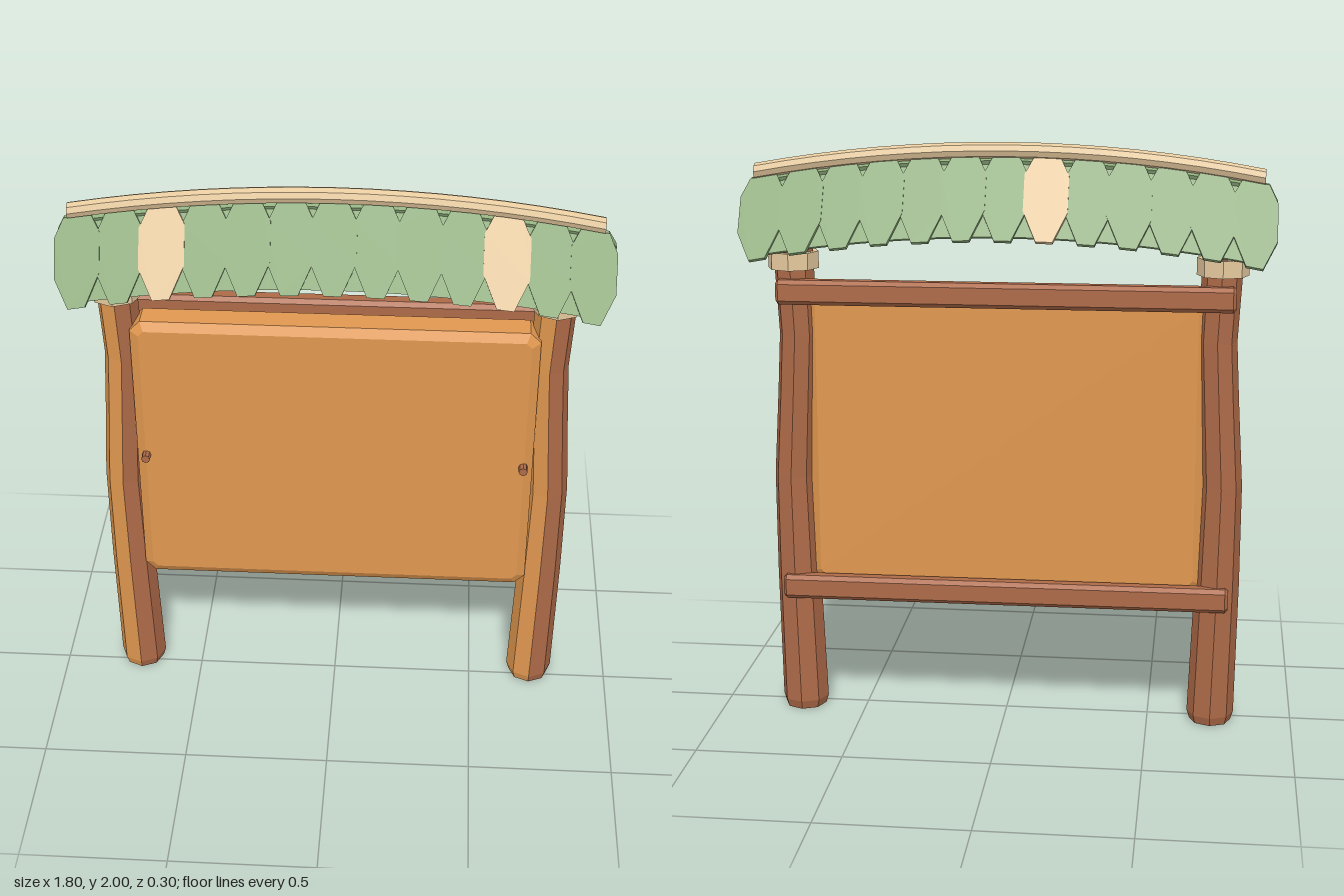
import * as THREE from 'three';

const mat = (name, color) => {
  const m = new THREE.MeshStandardMaterial({ color, flatShading: true });
  m.name = name;
  return m;
};

export function createModel() {
  const model = new THREE.Group();
  model.name = 'noticeBoard';
  const brown = mat('brownWood', 0xad6a48);
  const orange = mat('orangeWood', 0xe0974f);
  const green = mat('leafGreen', 0x8fae7c);
  const cream = mat('paleStraw', 0xe6ca9e);

  const add = (name, geometry, material, parent = model) => {
    const g = geometry.index ? geometry.toNonIndexed() : geometry;
    g.computeVertexNormals();
    const mesh = new THREE.Mesh(g, material);
    mesh.name = name;
    parent.add(mesh);
    return mesh;
  };

  // Moves every vertex of a geometry by a rule
  const deform = (geometry, rule) => {
    const p = geometry.attributes.position;
    const v = new THREE.Vector3();
    for (let i = 0; i < p.count; i++) {
      rule(v.fromBufferAttribute(p, i));
      p.setXYZ(i, v.x, v.y, v.z);
    }
    return geometry;
  };

  // The roof sags toward both ends
  const sag = (v) => { v.y -= 0.08 * (v.x / 0.86) ** 2; };

  // Shape with cut corners
  const cutRect = (w, h, c) => new THREE.Shape([
    [-w + c, -h], [w - c, -h], [w, -h + c], [w, h - c],
    [w - c, h], [-w + c, h], [-w, h - c], [-w, -h + c],
  ].map(([x, y]) => new THREE.Vector2(x, y)));

  // Crooked eight-sided posts: height, centre x, radius
  const stations = [
    [1.75, 0.72, 0.048], [1.73, 0.72, 0.062], [1.58, 0.722, 0.068], [1.35, 0.712, 0.066],
    [1.15, 0.722, 0.067], [0.85, 0.738, 0.07], [0.5, 0.732, 0.076],
    [0.03, 0.72, 0.081], [0, 0.72, 0.072],
  ];
  const rows = stations.length - 1;
  const postPart = (side, start, faces) => deform(
    new THREE.CylinderGeometry(1, 1, 1, faces, rows, false, start, faces * Math.PI / 4),
    (v) => {
      const [y, x, r] = stations[Math.round((0.5 - v.y) * rows)];
      v.set(side * x + v.x * r, y, -0.03 + v.z * r * 1.03);
    });

  for (const side of [-1, 1]) {
    const post = new THREE.Group();
    post.name = side > 0 ? 'leftPost' : 'rightPost';
    model.add(post);
    add('postWood', postPart(side, 0, 6), brown, post);
    add('postLightFaces', postPart(side, -Math.PI / 2, 2), orange, post);

    // Binding around the top of the post
    const collar = new THREE.CylinderGeometry(0.087, 0.087, 0.058, 8);
    add('collar', collar.translate(side * 0.724, 1.602, -0.03), cream, post);

    // Pin on the board face
    const pin = new THREE.CylinderGeometry(0.015, 0.015, 0.04, 8).rotateX(Math.PI / 2);
    add('pin', pin.translate(side * 0.645, 0.985, 0.065), brown);
  }

  // Bevelled board between the posts, resting on the rails
  const board = new THREE.ExtrudeGeometry(cutRect(0.648, 0.492, 0.018), {
    depth: 0.085, bevelEnabled: true, bevelThickness: 0.018, bevelSize: 0.03, bevelSegments: 1,
  });
  add('board', board.translate(0, 0.987, -0.048), orange);

  // Rails across the back
  for (const [name, y] of [['topRail', 1.502], ['bottomRail', 0.462]]) {
    const rail = new THREE.ExtrudeGeometry(cutRect(0.021, 0.032, 0.008), {
      depth: 1.52, bevelEnabled: true, bevelThickness: 0.01, bevelSize: 0.01, bevelSegments: 1,
    });
    rail.translate(0, 0, -0.76).rotateY(Math.PI / 2).translate(0, y, -0.098);
    add(name, rail, brown);
  }

  // Curved ridge pole
  const ridge = new THREE.CylinderGeometry(0.027, 0.027, 1.71, 8, 16).rotateZ(Math.PI / 2);
  add('ridgePole', deform(ridge.translate(0, 1.973, 0), sag), cream);

  // Thick overlapping leaves on a backing sheet, on both slopes
  const leafShape = new THREE.Shape([
    [-0.028, -0.295], [0.028, -0.295], [0.074, -0.19], [0.074, -0.06],
    [0.045, 0], [-0.045, 0], [-0.074, -0.06], [-0.074, -0.19],
  ].map(([x, y]) => new THREE.Vector2(x, y)));
  const thickness = 0.02;
  for (const side of [1, -1]) {
    const slope = new THREE.Group();
    slope.name = side > 0 ? 'frontThatch' : 'backThatch';
    model.add(slope);
    // Tilts a flat piece to the roof pitch, then moves it along the ridge
    const place = (geometry, x) => {
      geometry.rotateX(-0.49).translate(0, 1.953, 0.011);
      if (side < 0) geometry.rotateY(Math.PI);
      return deform(geometry.translate(x, 0, 0), sag);
    };
    const sheet = new THREE.BoxGeometry(1.67, 0.277, 0.014, 24, 1, 1).translate(0, -0.1385, -0.022);
    add('backingSheet', place(sheet, 0), green, slope);
    for (let i = -6; i <= 6; i++) {
      const pale = side > 0 ? Math.abs(i) === 4 : i === -1;
      const raised = (i % 2 === 0) === (side > 0);
      const leaf = new THREE.ExtrudeGeometry(leafShape, { depth: thickness, bevelEnabled: false });
      leaf.translate(0, 0, -thickness + (raised ? 0 : -0.003));
      add(pale ? 'paleLeaf' : 'leaf', place(leaf, i * 0.1373), pale ? cream : green, slope);
    }
  }
  return model;
}
